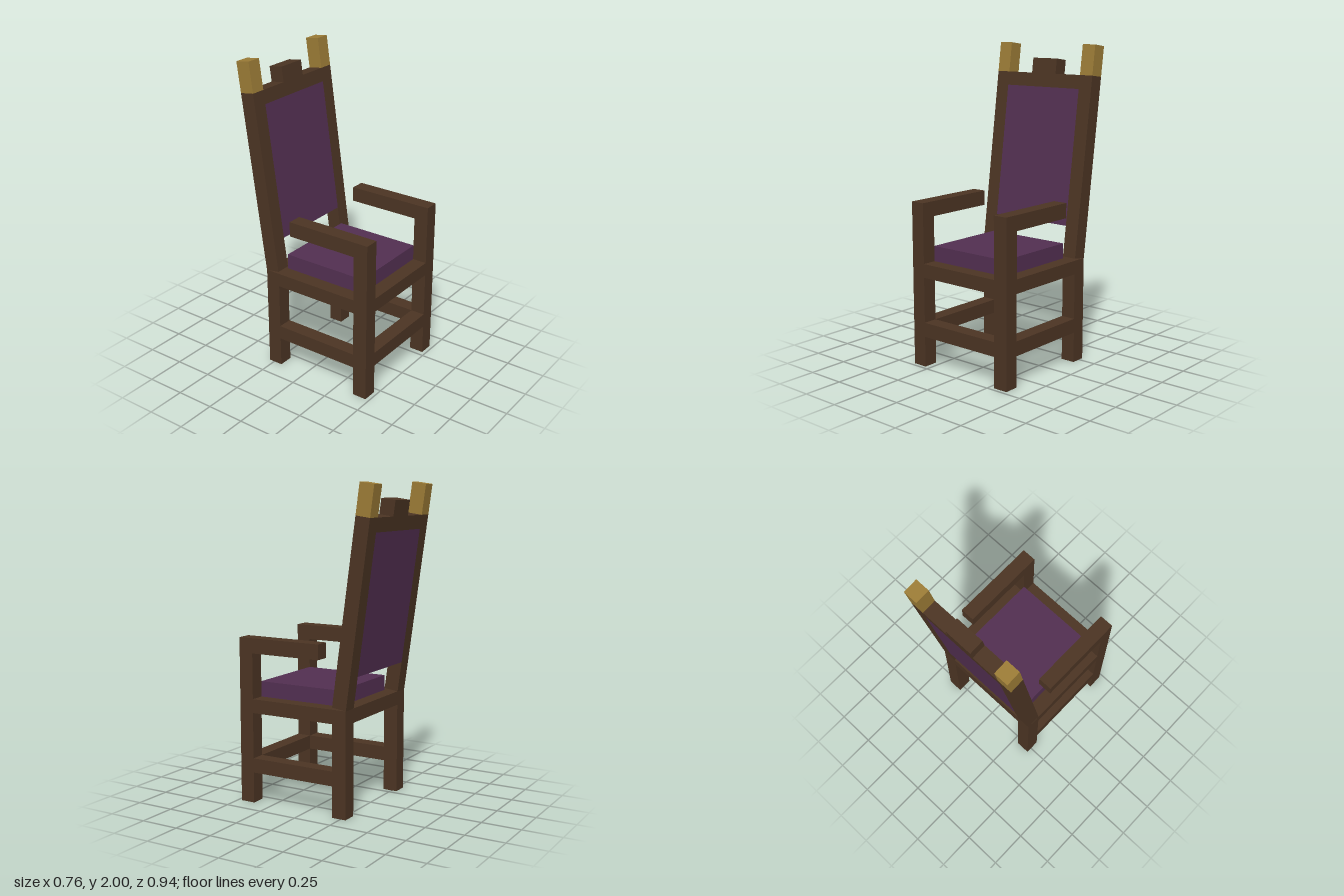
import * as THREE from 'three';

export function createModel() {
  const chair = new THREE.Group();
  chair.name = 'armchair';

  const mat = (name, color) => {
    const m = new THREE.MeshStandardMaterial({ color });
    m.name = name;
    return m;
  };
  const wood = mat('dark wood', 0x4b3423);
  const fabric = mat('purple fabric', 0x522f51);
  const gold = mat('gold', 0x9b7b36);

  // Box given by its extents on each axis
  const box = (parent, name, material, [x0, x1], [y0, y1], [z0, z1]) => {
    const mesh = new THREE.Mesh(new THREE.BoxGeometry(x1 - x0, y1 - y0, z1 - z0), material);
    mesh.position.set((x0 + x1) / 2, (y0 + y1) / 2, (z0 + z1) / 2);
    mesh.name = name;
    parent.add(mesh);
  };

  const outer = 0.38, inner = 0.286;
  const front = [0.38, 0.475], back = [-0.286, -0.191];
  const span = [-inner, inner];
  const stretcherY = [0.196, 0.288];
  const seatY = [0.579, 0.667];

  // Reclined backrest, hinged at the lower front edge of its posts
  const backrest = new THREE.Group();
  backrest.name = 'backrest';
  backrest.position.set(0, 0.68, -0.193);
  backrest.rotation.x = -0.1365;
  chair.add(backrest);
  const depth = [-0.095, 0];

  for (const [side, xs] of [['left', [inner, outer]], ['right', [-outer, -inner]]]) {
    // Legs, arms and side stretchers
    box(chair, side + 'FrontLeg', wood, xs, [0, 1.05], front);
    box(chair, side + 'BackLeg', wood, xs, [0, seatY[0]], back);
    box(chair, side + 'Armrest', wood, xs, [0.955, 1.05], [-0.095, front[0]]);
    box(chair, side + 'Stretcher', wood, xs, stretcherY, [back[1], front[0]]);
    box(chair, side + 'SeatRail', wood, xs, seatY, [back[0], front[0]]);
    // Back posts with gold finials
    box(backrest, side + 'BackPost', wood, xs, [0, 1.142], depth);
    box(backrest, side + 'Finial', gold, xs, [1.142, 1.333], depth);
  }

  // Seat
  box(chair, 'frontStretcher', wood, span, stretcherY, front);
  box(chair, 'seatBase', wood, span, seatY, [back[0], front[1]]);
  box(chair, 'seatCushion', fabric, span, [seatY[1], 0.765], [back[1], front[0]]);

  // Back panel, top rail and crest
  box(backrest, 'backPanel', fabric, span, [0.195, 1.055], depth);
  box(backrest, 'topRail', wood, span, [1.055, 1.142], depth);
  box(backrest, 'crest', wood, [-0.095, 0.095], [1.142, 1.238], depth);

  return chair;
}
